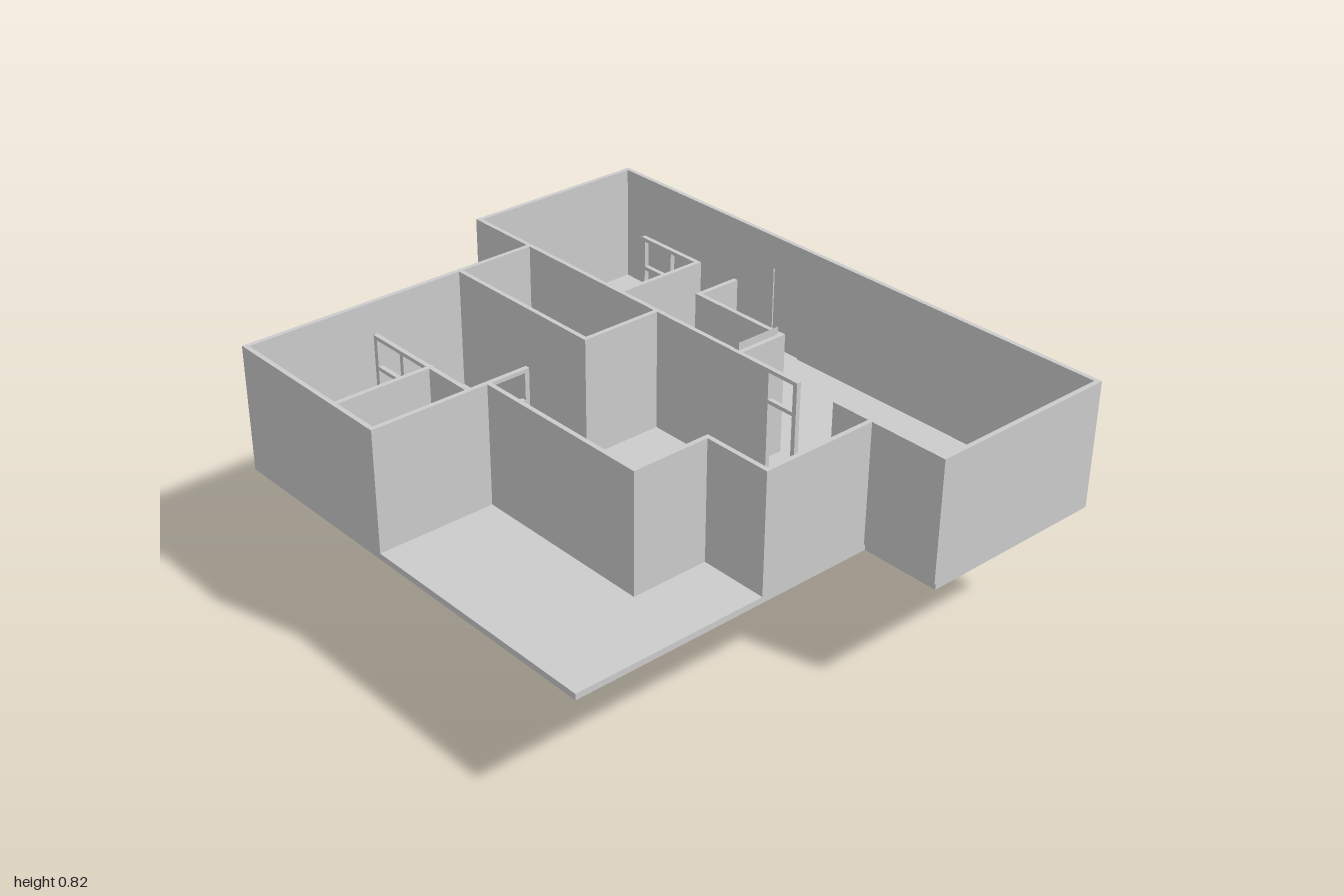
import * as THREE from 'three';

const FLOOR = 0.39, DECK = 0.41, TOP = 0.80, T = 0.015, DOOR = 0.69;

export function createModel() {
  const model = new THREE.Group();
  const mat = new THREE.MeshStandardMaterial({ color: 0xcccccc, flatShading: true, side: THREE.DoubleSide });

  const add = (name, geometry) => {
    const mesh = new THREE.Mesh(geometry, mat);
    mesh.name = name;
    model.add(mesh);
    return mesh;
  };
  // Box given by its limits on each axis
  const block = (name, x0, x1, y0, y1, z0, z1) =>
    add(name, new THREE.BoxGeometry(x1 - x0, y1 - y0, z1 - z0))
      .position.set((x0 + x1) / 2, (y0 + y1) / 2, (z0 + z1) / 2);
  // Walls along x (outer edge at z) and along z (outer edge at x)
  const wallX = (name, x0, x1, z, y0 = DECK, y1 = TOP) => block(name, x0, x1, y0, y1, z, z + T);
  const wallZ = (name, x, z0, z1, y0 = DECK, y1 = TOP) => block(name, x, x + T, y0, y1, z0, z1);
  // Profile in x, y extruded along z
  const prism = (name, points, z0, z1) => {
    const shape = new THREE.Shape(points.map(p => new THREE.Vector2(...p)));
    add(name, new THREE.ExtrudeGeometry(shape, { depth: z1 - z0, bevelEnabled: false })).position.z = z0;
  };

  // Floor slab with terraces and a stairwell opening
  const outline = [[-1, -0.84], [1, -0.84], [1, -0.2], [0.74, -0.2], [0.74, 0.84],
    [-0.74, 0.84], [-0.74, 0.32], [-1, 0.32]];
  const slab = new THREE.Shape(outline.map(([x, z]) => new THREE.Vector2(x, -z)));
  const well = [[-0.725, -0.19], [-0.33, -0.19], [-0.33, 0.065], [-0.725, 0.065]];
  slab.holes.push(new THREE.Path(well.map(([x, z]) => new THREE.Vector2(x, -z))));
  const slabGeo = new THREE.ExtrudeGeometry(slab, { depth: DECK - FLOOR, bevelEnabled: false });
  slabGeo.rotateX(-Math.PI / 2);
  add('floorSlab', slabGeo).position.y = FLOOR;

  // Back block, with a recessed door in the rear wall
  const doorL = -0.275, doorR = -0.155;
  wallX('rearWall', -1, doorL, -0.84);
  wallX('rearWall', doorR, 1, -0.84);
  wallX('rearDoorLintel', doorL, doorR, -0.84, DOOR);
  block('rearDoor', doorL, doorR, DECK, DOOR, -0.835, -0.83);
  wallZ('rightEndWall', -1, -0.84, -0.195);
  wallZ('leftEndWall', 1 - T, -0.84, -0.195);

  // Long wall between the back block and the front rooms, with a gap
  wallX('middleWall', -1, 0.33, -0.21);
  wallX('middleWall', 0.595, 1, -0.21);

  // Front block outer walls
  wallZ('sideWall', -0.74, -0.2, 0.84);
  wallX('frontWall', -0.74, -0.1, 0.84 - T);
  wallZ('terraceSideWall', -0.115, 0.5, 0.84);
  wallX('terraceWall', -0.115, 0.515, 0.437);
  wallZ('terraceStepWall', 0.5, 0.185, 0.45);
  wallX('terraceStepWall', 0.5, 0.74, 0.18);
  wallZ('sideWall', 0.74 - T, -0.2, 0.195);

  // Inner partitions
  wallX('stairRoomWall', -0.74, -0.125, 0.065);
  wallZ('stairRoomWall', -0.14, -0.2, 0.08);
  wallZ('frontPartition', -0.295, 0.5, 0.84);
  wallX('frontPartition', -0.295, -0.1, 0.503);
  wallZ('hallWall', -0.305, -0.52, -0.2);
  wallZ('hallWall', -0.14, -0.52, -0.365);
  wallX('upperStairWall', -0.14, 0.222, -0.377);
  wallZ('upperStairWall', 0.21, -0.377, -0.2);

  // Door frames with a transom opening above each doorway
  const frameX = (x0, x1, z, bays) => {
    const w = (x1 - x0 - T) / bays;
    for (let i = 0; i <= bays; i++) wallX('framePost', x0 + i * w, x0 + i * w + T, z);
    for (const y of [DOOR, TOP - 0.012]) wallX('frameBar', x0, x1, z, y, y + 0.012);
  };
  frameX(-0.55, -0.29, -0.522, 2);
  frameX(-0.55, -0.28, 0.503, 2);
  frameX(0.33, 0.457, -0.21, 1);
  for (const z of [0.305, 0.437]) wallZ('framePost', -0.115, z, z + T);
  wallZ('framePost', -0.115, 0.437, 0.51);
  for (const y of [DOOR, TOP - 0.012]) wallZ('frameBar', -0.115, 0.305, 0.45, y, y + 0.012);

  // Stair ramp up from the hall
  prism('upperRamp', [[-0.14, DECK], [0.21, DECK], [0.21, 0.825]], -0.362, -0.208);

  // Lower stairwell, open at its outer end, with a ramp inside
  prism('lowerRamp', [[-1, 0], [-0.34, 0], [-0.34, FLOOR + 0.01]], -0.19, 0.07);
  block('stairwellSide', -1, -0.33, 0, FLOOR, -0.2, -0.19);
  block('stairwellSide', -1, -0.33, 0, FLOOR, 0.07, 0.08);
  block('stairwellEnd', -0.34, -0.33, 0, FLOOR, -0.19, 0.07);

  return model;
}
